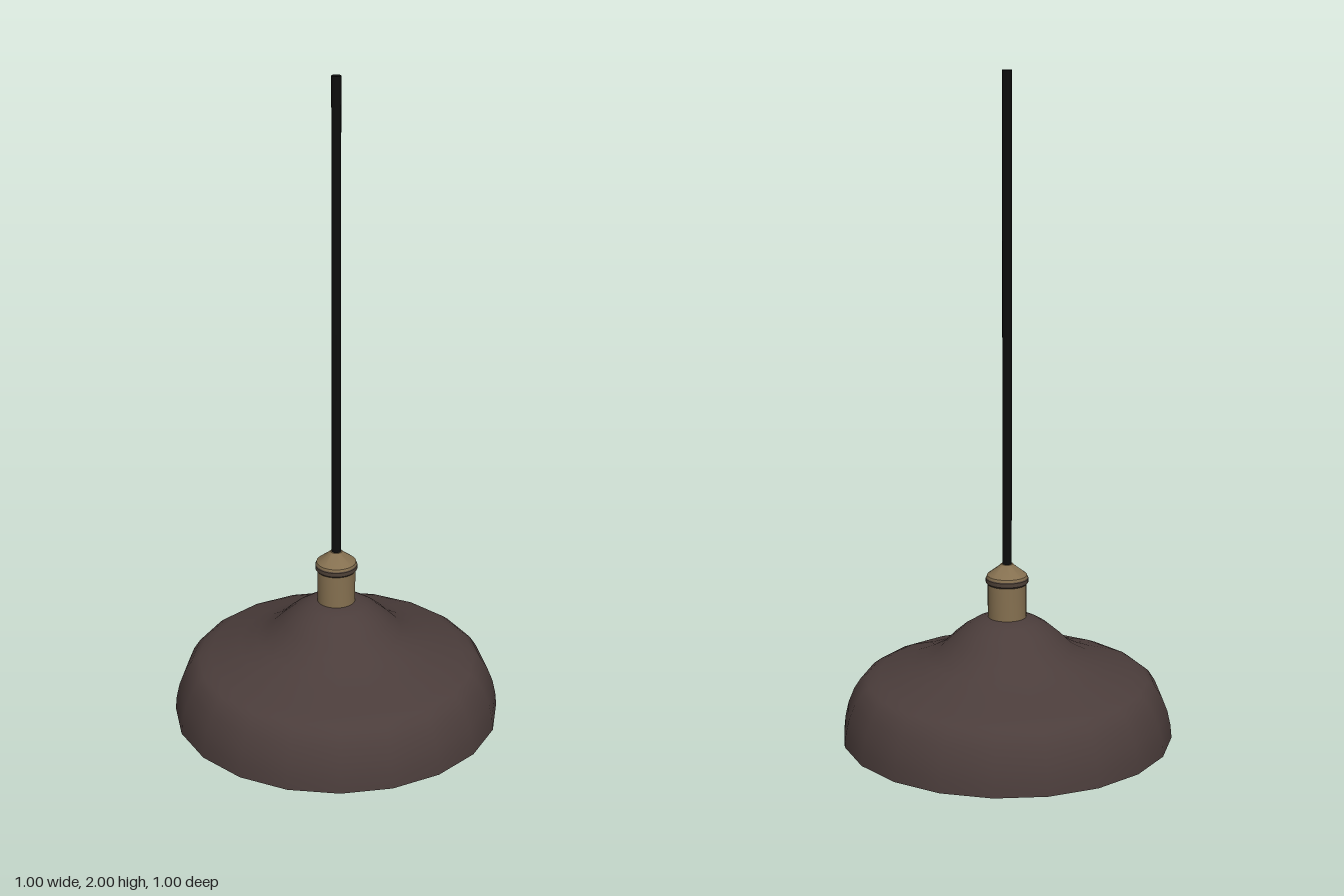
import * as THREE from 'three';
import { toCreasedNormals } from 'three/addons/utils/BufferGeometryUtils.js';

const paint = (color, side = THREE.FrontSide) => new THREE.MeshStandardMaterial({ color, side });

// Revolved part; profile runs from bottom to top as [radius, height]
function turned(name, profile, sides, material, crease = 0) {
  const points = profile.map(([r, y]) => new THREE.Vector2(r, y));
  let geometry = new THREE.LatheGeometry(points, sides);
  if (crease) geometry = toCreasedNormals(geometry, crease);
  const mesh = new THREE.Mesh(geometry, material);
  mesh.name = name;
  return mesh;
}

export function createModel() {
  const lamp = new THREE.Group();
  lamp.name = 'pendantLamp';

  const shadePaint = paint(0x4b3d3b, THREE.DoubleSide);
  const brass = paint(0x857050);
  const darkBrass = paint(0x4f4238);
  const black = paint(0x0d0d0d);
  const glass = paint(0xcccccc);

  // Thin bell-shaped shade, open below
  lamp.add(turned('shade', [
    [0.5, 0], [0.496, 0.04], [0.486, 0.085], [0.468, 0.13], [0.447, 0.163],
    [0.425, 0.18], [0.39, 0.195], [0.3, 0.225], [0.245, 0.248], [0.2, 0.274],
    [0.165, 0.309], [0.13, 0.339], [0.095, 0.361], [0.06, 0.374], [0, 0.376],
  ], 20, shadePaint));

  // Socket: straight barrel, raised collar and conical cap
  lamp.add(turned('socketBarrel', [[0, 0.365], [0.058, 0.365], [0.058, 0.48], [0, 0.48]], 32, brass, 0.6));
  lamp.add(turned('socketCollar', [
    [0, 0.477], [0.06, 0.477], [0.064, 0.482], [0.064, 0.494], [0.06, 0.499], [0, 0.499],
  ], 32, darkBrass, 0.6));
  lamp.add(turned('socketCap', [
    [0, 0.496], [0.062, 0.496], [0.06, 0.504], [0.025, 0.531], [0.018, 0.538], [0, 0.538],
  ], 32, brass, 0.6));

  // Hanging cord
  lamp.add(turned('cord', [[0, 0.53], [0.014, 0.53], [0.014, 2], [0, 2]], 16, black, 0.6));

  // Bulb: round globe narrowing to a neck inside the shade
  const bulb = [];
  for (let i = 0; i <= 12; i++) {
    const a = -Math.PI / 2 + (i / 12) * Math.PI * 0.8;
    bulb.push([Math.max(0, 0.056 * Math.cos(a)), 0.26 + 0.056 * Math.sin(a)]);
  }
  bulb.push([0.028, 0.325], [0.026, 0.374]);
  lamp.add(turned('bulb', bulb, 24, glass));

  return lamp;
}
